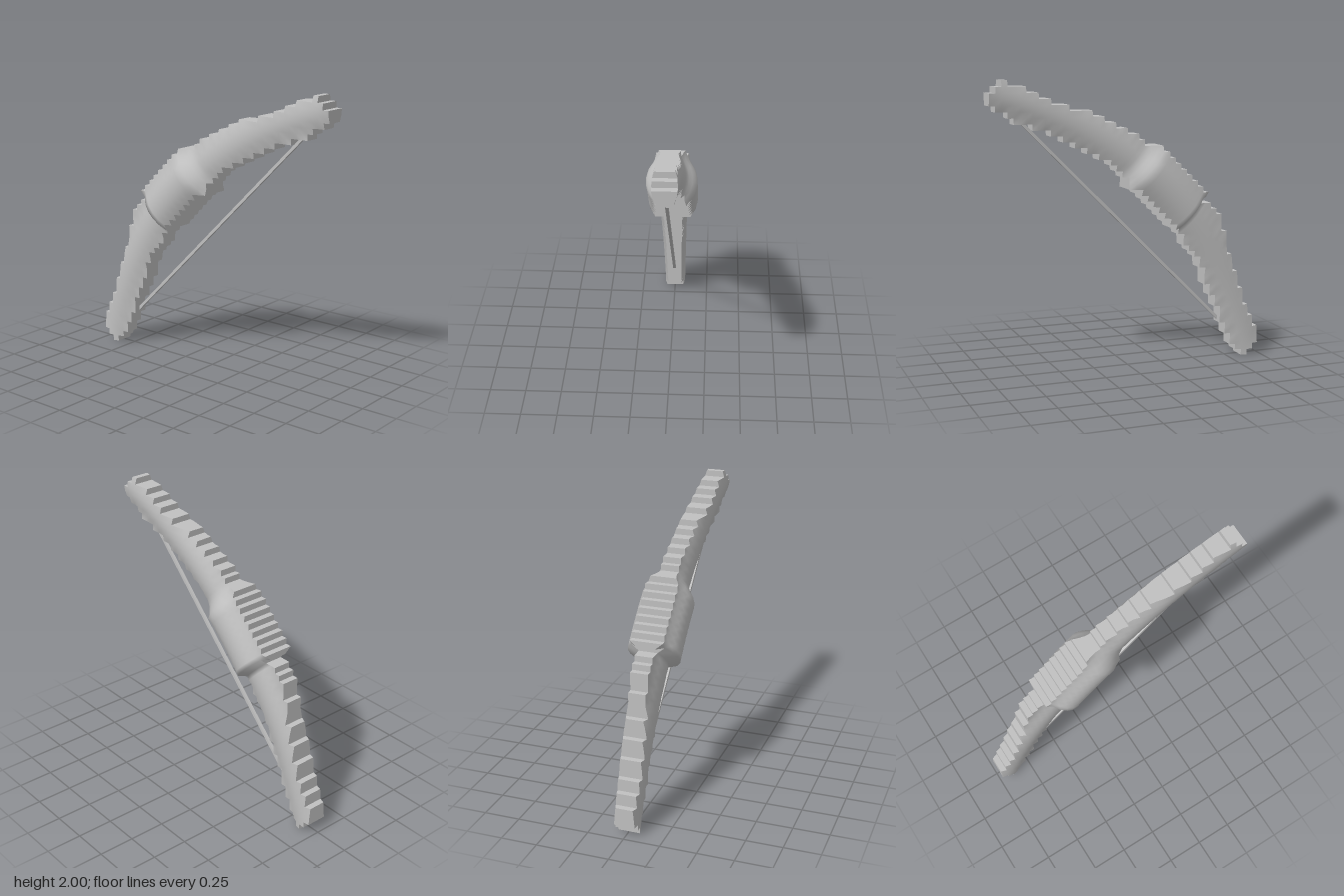
import * as THREE from 'three';

const CELL = 1 / 24;
// Stepped outline: first and end column of each row, bottom to top
const FIRST = [2, 1, 0, 0, 0, 1, 1, 2, 2, 3, 3, 3, 4, 4, 4, 5, 5, 5, 6, 6, 6, 6, 7, 7,
  7, 8, 9, 11, 10, 11, 12, 13, 14, 15, 16, 17, 18, 21, 22, 24, 26, 28, 30, 34, 37, 39, 41, 44];
const END = [3, 4, 5, 5, 6, 6, 7, 7, 7, 8, 8, 9, 9, 10, 10, 10, 11, 11, 12, 13, 14, 14, 15, 16,
  17, 18, 19, 20, 21, 22, 24, 24, 25, 26, 27, 29, 31, 33, 35, 37, 40, 43, 44, 46, 47, 47, 46, 45];

const filled = (c, r) => r >= 0 && r < FIRST.length && c >= FIRST[r] && c < END[r];
const px = (c) => (c - 23.5) * CELL;
const py = (r) => r * CELL;

// Half thickness: rounded across the bow, swelling at the grip
function halfDepth(c, r) {
  const x = px(c), y = py(r);
  const u = x + y; // runs along the bow
  const k = (u - 1) / 1.82;
  const centre = 1.49 - 0.48 * k * k;
  const limb = 0.108 - 0.03 * Math.min(1, Math.abs(k));
  const grip = u < 0.615 ? 0 : 1 - THREE.MathUtils.smoothstep(u, 1.22, 1.42);
  const t = (y - x - centre) / (0.18 + 0.04 * grip);
  return (limb + (0.177 - limb) * grip) * Math.sqrt(1 - 0.6 * Math.min(1, t * t));
}

// Front or back surface, sharing corners so that it shades smoothly
function faceGeometry(side) {
  const positions = [], indices = [], seen = new Map();
  const corner = (c, r) => {
    const key = c + r * 100;
    if (!seen.has(key)) {
      seen.set(key, positions.length / 3);
      positions.push(px(c), py(r), side * halfDepth(c, r));
    }
    return seen.get(key);
  };
  FIRST.forEach((first, r) => {
    for (let c = first; c < END[r]; c++) {
      const a = corner(c, r), b = corner(c + 1, r);
      const d = corner(c + 1, r + 1), e = corner(c, r + 1);
      if (side > 0) indices.push(a, b, e, b, d, e);
      else indices.push(a, e, b, b, e, d);
    }
  });
  return finish(positions, indices);
}

// Flat walls along every exposed cell edge
function edgeGeometry() {
  const positions = [], indices = [];
  const wall = (c0, r0, c1, r1) => {
    const n = positions.length / 3;
    const h0 = halfDepth(c0, r0), h1 = halfDepth(c1, r1);
    positions.push(px(c0), py(r0), h0, px(c0), py(r0), -h0,
      px(c1), py(r1), -h1, px(c1), py(r1), h1);
    indices.push(n, n + 1, n + 2, n, n + 2, n + 3);
  };
  FIRST.forEach((first, r) => {
    for (let c = first; c < END[r]; c++) {
      if (!filled(c, r - 1)) wall(c, r, c + 1, r);
      if (!filled(c + 1, r)) wall(c + 1, r, c + 1, r + 1);
      if (!filled(c, r + 1)) wall(c + 1, r + 1, c, r + 1);
      if (!filled(c - 1, r)) wall(c, r + 1, c, r);
    }
  });
  return finish(positions, indices);
}

function finish(positions, indices) {
  const geometry = new THREE.BufferGeometry();
  geometry.setAttribute('position', new THREE.Float32BufferAttribute(positions, 3));
  geometry.setIndex(indices);
  geometry.computeVertexNormals();
  return geometry;
}

export function createModel() {
  const model = new THREE.Group();
  model.name = 'bow';
  const grey = new THREE.MeshStandardMaterial({ color: 0xc0c0c0 });
  grey.name = 'light grey';
  const add = (name, geometry, parent) => {
    const mesh = new THREE.Mesh(geometry, grey);
    mesh.name = name;
    parent.add(mesh);
    return mesh;
  };

  // Stave: two limbs and a thicker grip
  const stave = new THREE.Group();
  stave.name = 'stave';
  model.add(stave);
  add('staveFront', faceGeometry(1), stave);
  add('staveBack', faceGeometry(-1), stave);
  add('staveEdge', edgeGeometry(), stave);

  // Taut string between the limbs
  const string = add('string', new THREE.BoxGeometry(2.11, 0.02, 0.02), model);
  string.position.set(0.022, 0.99, 0);
  string.rotation.z = Math.PI / 4;
  return model;
}
